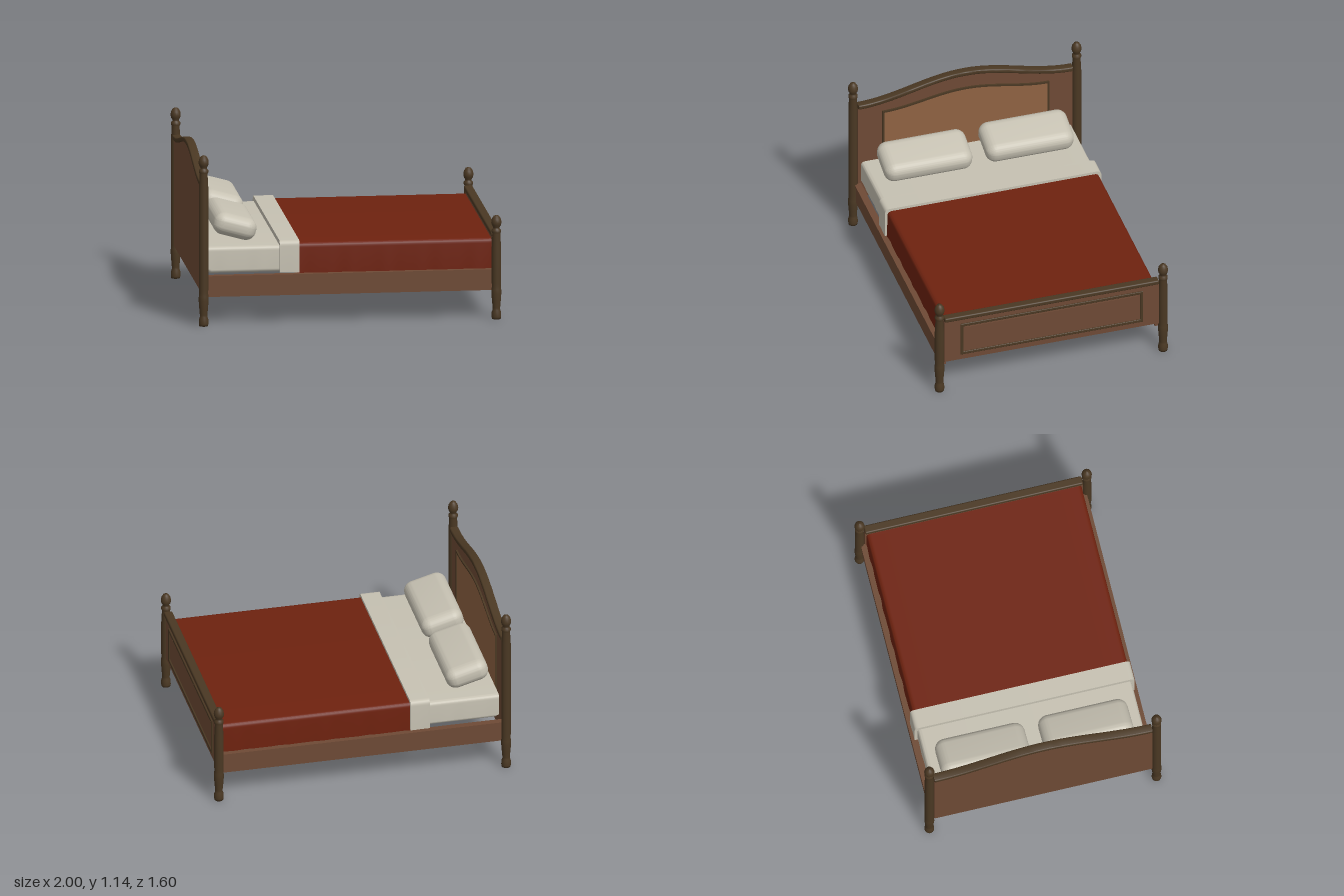
import * as THREE from 'three';
import { toCreasedNormals } from 'three/addons/utils/BufferGeometryUtils.js';
import { RoundedBoxGeometry } from 'three/addons/geometries/RoundedBoxGeometry.js';

const material = (name, color) => {
  const m = new THREE.MeshStandardMaterial({ color });
  m.name = name;
  return m;
};

export function createModel() {
  const bed = new THREE.Group();
  bed.name = 'bed';
  const darkWood = material('dark wood', 0x4a3823);
  const wood = material('brown wood', 0x6e4a35);
  const lightWood = material('light wood', 0x8f6242);
  const linen = material('linen', 0xc6c1b2);
  const red = material('red blanket', 0x6e220f);

  const add = (name, geometry, mat, x = 0, y = 0, z = 0) => {
    const mesh = new THREE.Mesh(geometry, mat);
    mesh.name = name;
    mesh.position.set(x, y, z);
    bed.add(mesh);
    return mesh;
  };
  const box = (name, mat, x0, x1, y0, y1, z0, z1) =>
    add(name, new THREE.BoxGeometry(x1 - x0, y1 - y0, z1 - z0), mat, (x0 + x1) / 2, (y0 + y1) / 2, (z0 + z1) / 2);

  // Shapes are drawn across the bed (z, y) and extruded along x
  const across = (shape, x0, x1, bevel = 0, steps = 1) => {
    const g = new THREE.ExtrudeGeometry(shape, {
      depth: x1 - x0 - 2 * bevel, steps, curveSegments: 6,
      bevelEnabled: bevel > 0, bevelSize: bevel, bevelThickness: bevel, bevelOffset: -bevel, bevelSegments: 3,
    });
    g.rotateY(Math.PI / 2).translate(x0 + bevel, 0, 0);
    return toCreasedNormals(g, 0.6);
  };

  // Outline with a flat bottom and a gently arched top
  const arched = (half, bottom, side, rise, inset = 0) => {
    const w = half - inset;
    const pts = [new THREE.Vector2(-w, bottom + inset), new THREE.Vector2(w, bottom + inset)];
    const n = rise ? 32 : 1;
    for (let i = 0; i <= n; i++) {
      const z = w - (2 * w * i) / n;
      pts.push(new THREE.Vector2(z, side - inset + (rise / 2) * (1 + Math.cos((Math.PI * z) / half))));
    }
    return pts;
  };
  const frame = (half, bottom, side, rise, width) => {
    const s = new THREE.Shape(arched(half, bottom, side, rise));
    s.holes.push(new THREE.Path(arched(half, bottom, side, rise, width).reverse()));
    return s;
  };

  // Turned corner posts
  const post = (h) => {
    const profile = [
      [0, 0], [0.029, 0], [0.032, 0.015], [0.031, 0.045], [0.025, 0.06], [0.025, 0.075], [0.029, 0.12],
      [0.033, 0.17], [0.032, 0.2], [0.029, 0.22], [0.031, 0.24], [0.031, h - 0.22], [0.026, h - 0.125],
      [0.031, h - 0.115], [0.031, h - 0.1], [0.022, h - 0.092], [0.021, h - 0.083], [0.03, h - 0.068],
      [0.034, h - 0.05], [0.03, h - 0.027], [0.018, h - 0.007], [0, h],
    ].map(([r, y]) => new THREE.Vector2(r, y));
    return new THREE.LatheGeometry(profile, 20);
  };
  for (const side of [-1, 1]) {
    add('headPost', post(1.143), darkWood, -0.966, 0, side * 0.766);
    add('footPost', post(0.695), darkWood, 0.966, 0, side * 0.766);
  }

  // Headboard with arched cap and framed panel
  add('headboard', across(new THREE.Shape(arched(0.735, 0.22, 0.945, 0.12)), -0.98, -0.95), wood);
  const cap = new THREE.Shape([
    ...arched(0.735, 0, 0.965, 0.12).slice(2),
    ...arched(0.735, 0, 0.934, 0.12).slice(2).reverse(),
  ]);
  add('headboardCap', across(cap, -0.992, -0.935, 0.008), darkWood);
  add('headboardPanel', across(new THREE.Shape(arched(0.565, 0.43, 0.88, 0.072)), -0.95, -0.945), lightWood);
  add('headboardPanelFrame', across(frame(0.572, 0.42, 0.886, 0.072, 0.013), -0.95, -0.938), darkWood);

  // Footboard with flat cap and framed panel
  box('footboard', wood, 0.945, 0.973, 0.225, 0.555, -0.735, 0.735);
  add('footboardCap', new RoundedBoxGeometry(0.057, 0.032, 1.47, 3, 0.01), darkWood, 0.96, 0.564, 0);
  add('footboardPanelFrame', across(frame(0.626, 0.267, 0.513, 0, 0.021), 0.973, 0.984, 0.004), darkWood);
  box('footboardPanel', wood, 0.973, 0.978, 0.3, 0.48, -0.59, 0.59);

  // Side rails with a thin ledge on top
  for (const side of [-1, 1]) {
    box('sideRail', wood, -0.95, 0.95, 0.19, 0.312, side * 0.735 - 0.02, side * 0.735 + 0.02);
    box('sideRailLedge', wood, -0.95, 0.95, 0.312, 0.33, side * 0.739 - 0.023, side * 0.739 + 0.023);
  }

  // Mattress
  add('mattress', new RoundedBoxGeometry(1.86, 0.165, 1.405, 4, 0.025), linen, 0, 0.4175, 0);

  // Bed linen hanging over both sides, with a slightly rippled hem
  const drape = (x0, x1, y0, y1, half, t, r, ripple) => {
    const s = new THREE.Shape();
    s.moveTo(-half, y0);
    s.lineTo(-half, y1 - r);
    s.quadraticCurveTo(-half, y1, -half + r, y1);
    s.lineTo(half - r, y1);
    s.quadraticCurveTo(half, y1, half, y1 - r);
    s.lineTo(half, y0);
    s.lineTo(half - t, y0);
    s.lineTo(half - t, y1 - r);
    s.quadraticCurveTo(half - t, y1 - t, half - r, y1 - t);
    s.lineTo(-half + r, y1 - t);
    s.quadraticCurveTo(-half + t, y1 - t, -half + t, y1 - r);
    s.lineTo(-half + t, y0);
    s.closePath();
    const g = across(s, x0, x1, 0, Math.ceil((x1 - x0) * 50));
    const p = g.attributes.position;
    for (let i = 0; i < p.count; i++) {
      const x = p.getX(i);
      const drop = Math.max(0, (y1 - r - p.getY(i)) / (y1 - r - y0));
      const wave = Math.sin(x * 31) + 0.6 * Math.sin(x * 53 + 1);
      p.setZ(i, p.getZ(i) + Math.sign(p.getZ(i)) * ripple * drop * wave);
    }
    return toCreasedNormals(g, 0.6);
  };
  add('sheet', drape(-0.93, -0.4, 0.368, 0.516, 0.722, 0.016, 0.03, 0.001), linen);
  add('blanket', drape(-0.34, 0.938, 0.33, 0.531, 0.725, 0.016, 0.032, 0.002), red);
  add('foldedSheet', drape(-0.46, -0.33, 0.338, 0.55, 0.742, 0.032, 0.035, 0.001), linen);

  // Pillows tilted against the headboard
  for (const [x, y, z] of [[-0.738, 0.624, 0.345], [-0.742, 0.632, -0.351]]) {
    const g = new RoundedBoxGeometry(0.288, 0.16, 0.602, 8, 0.068);
    const p = g.attributes.position;
    for (let i = 0; i < p.count; i++) {
      const edge = Math.max(Math.abs(p.getX(i)) / 0.144, Math.abs(p.getZ(i)) / 0.301);
      p.setY(i, p.getY(i) * (1 - 0.12 * edge * edge));
    }
    g.computeVertexNormals();
    add('pillow', toCreasedNormals(g, 1.2), linen, x, y, z).rotation.z = -0.27;
  }

  return bed;
}
